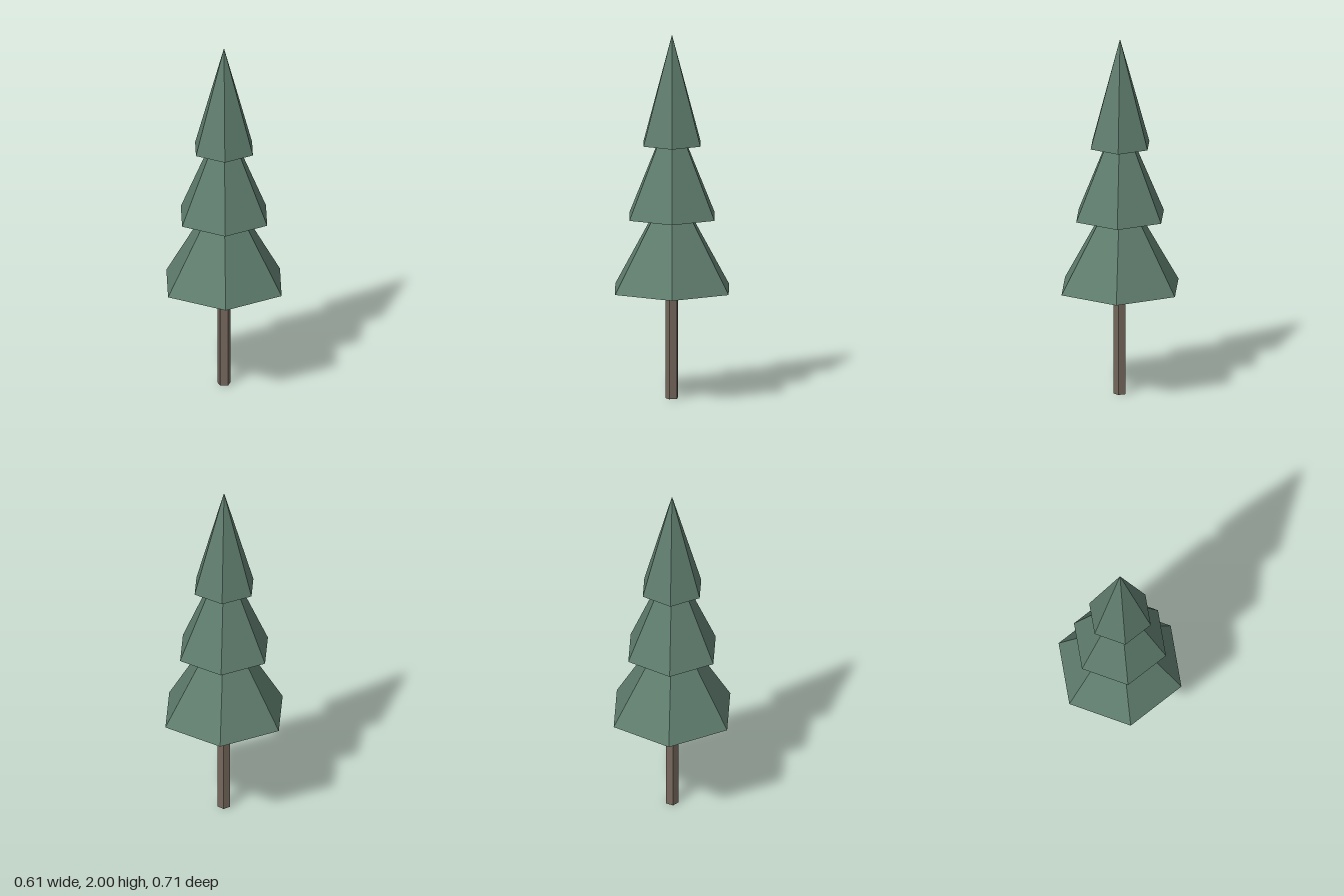
import * as THREE from 'three';

const leafMaterial = new THREE.MeshStandardMaterial({ color: 0x5f7d6e, flatShading: true });
const barkMaterial = new THREE.MeshStandardMaterial({ color: 0x75675c, flatShading: true });

export function createModel() {
  const tree = new THREE.Group();
  tree.name = 'tree';

  // Five-sided trunk with one edge facing the back
  const trunkHeight = 0.6;
  const trunk = new THREE.Mesh(
    new THREE.CylinderGeometry(0.036, 0.036, trunkHeight, 5, 1, false, Math.PI),
    barkMaterial
  );
  trunk.name = 'trunk';
  trunk.position.y = trunkHeight / 2;
  tree.add(trunk);

  // Three overlapping six-sided foliage tiers of equal height, narrowing upwards
  const tierHeight = 0.6;
  const tierSpacing = 0.4;
  const tierNames = ['lowerFoliage', 'middleFoliage', 'upperFoliage'];
  [0.355, 0.266, 0.178].forEach((radius, i) => {
    const tier = new THREE.Mesh(new THREE.ConeGeometry(radius, tierHeight, 6), leafMaterial);
    tier.name = tierNames[i];
    tier.position.y = trunkHeight + i * tierSpacing + tierHeight / 2;
    tree.add(tier);
  });

  return tree;
}
